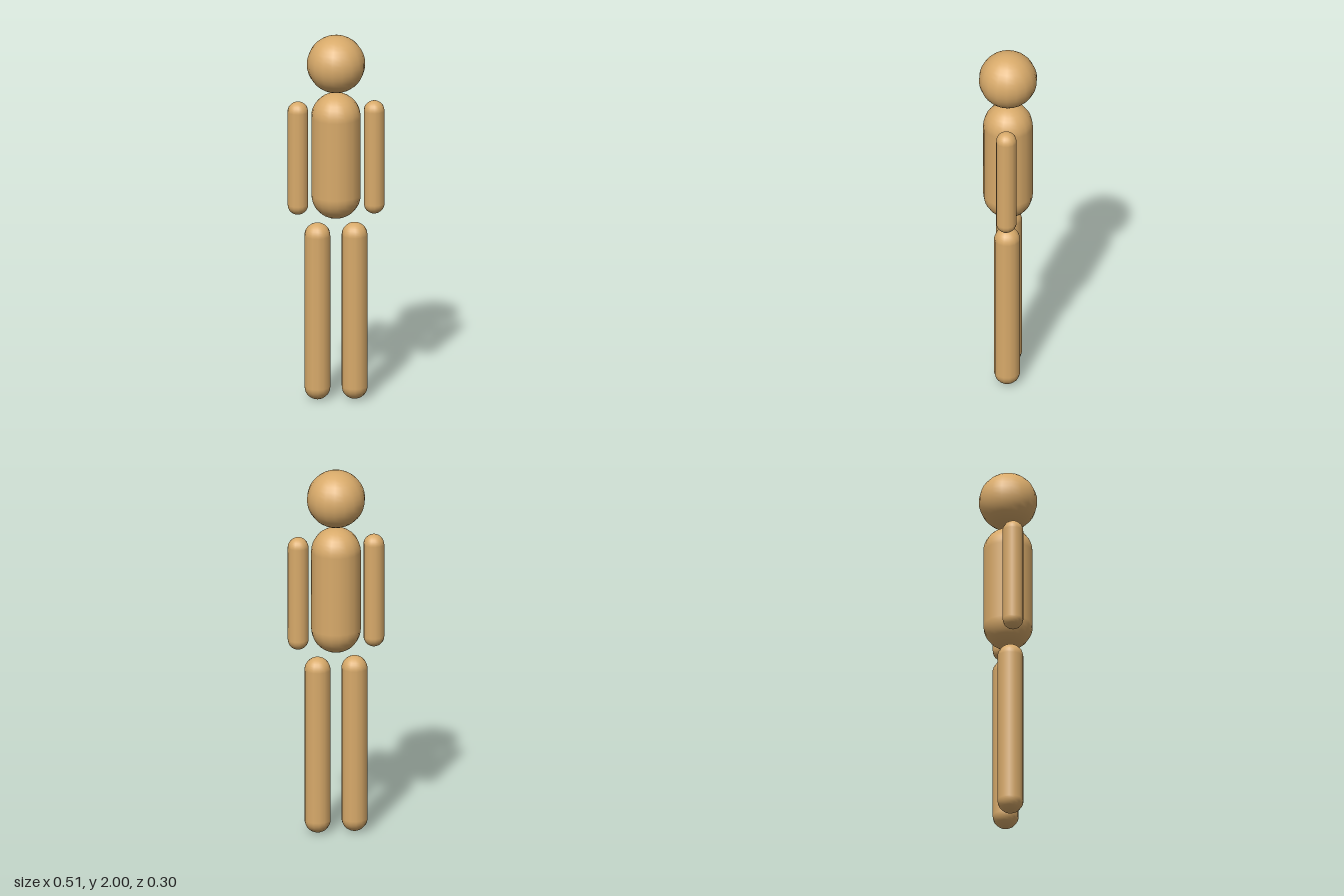
import * as THREE from 'three';

export function createModel() {
  const model = new THREE.Group();
  model.name = 'mannequin';
  const wood = new THREE.MeshStandardMaterial({ color: 0xd8aa6a });
  wood.name = 'tan wood';

  // Upright capsule spanning bottom..top, with a corner of its ring on the x axis
  function addCapsule(name, x, bottom, top, radius, sides) {
    const geometry = new THREE.CapsuleGeometry(radius, top - bottom - 2 * radius, 9, sides);
    geometry.rotateY(Math.PI / 2);
    const mesh = new THREE.Mesh(geometry, wood);
    mesh.name = name;
    mesh.position.set(x, (bottom + top) / 2, 0);
    model.add(mesh);
  }

  // Head
  const head = new THREE.Mesh(new THREE.SphereGeometry(0.154, 18, 18), wood);
  head.name = 'head';
  head.position.y = 1.846;
  model.add(head);

  // Torso
  addCapsule('torso', 0, 0.998, 1.685, 0.131, 18);

  // Limbs, mirrored
  for (const [side, s] of [['left', 1], ['right', -1]]) {
    addCapsule(side + 'Arm', s * 0.201, 1.02, 1.64, 0.055, 14);
    addCapsule(side + 'Leg', s * 0.098, 0, 0.97, 0.069, 14);
  }
  return model;
}
